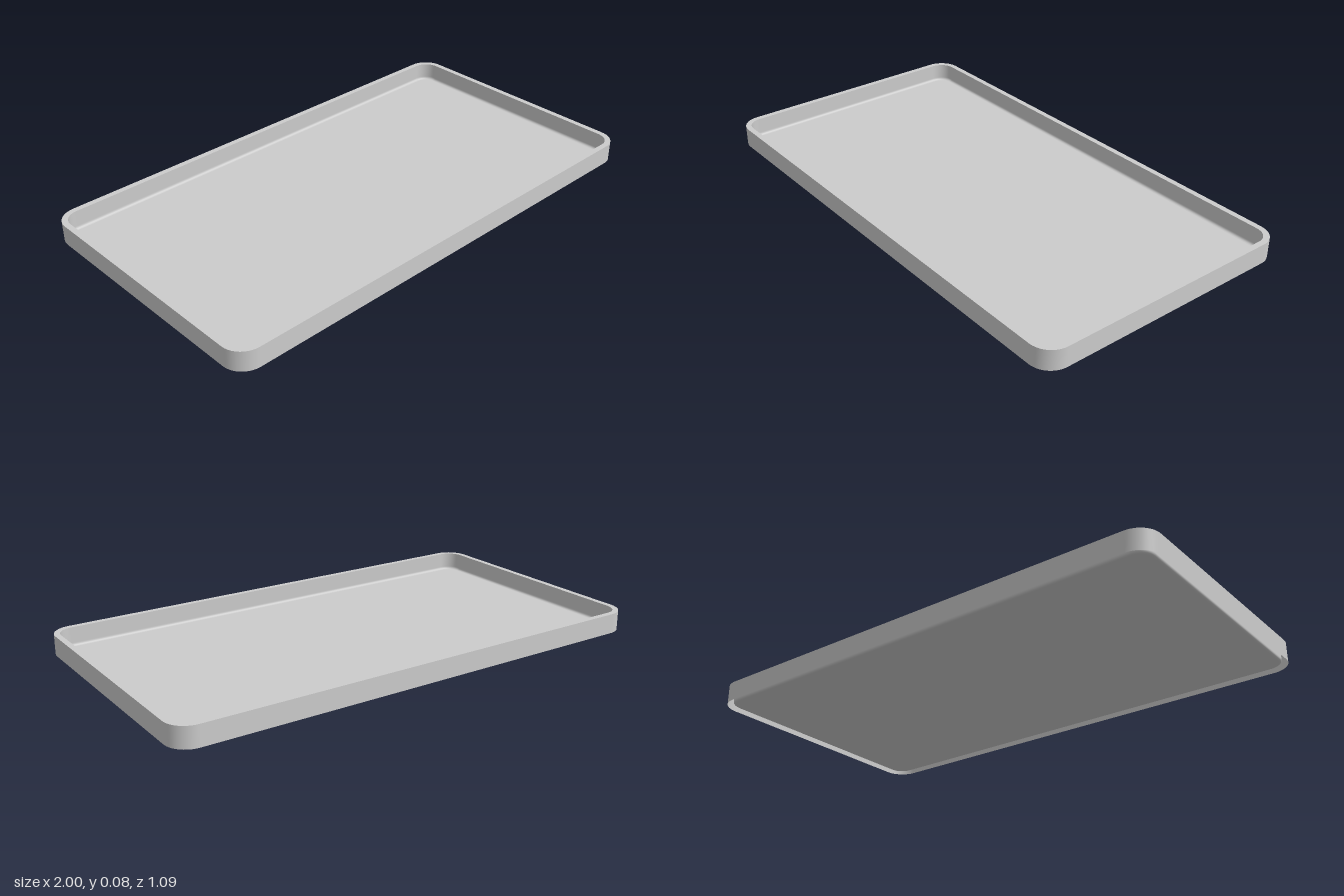
import * as THREE from 'three';

const HALF_X = 1, HALF_Z = 0.545, RADIUS = 0.085, STEPS = 10;

// Rounded-rectangle outline, moved inward by inset, as [x, z] pairs
function outline(inset) {
  const pts = [], r = RADIUS - inset;
  const corners = [[1, 1], [-1, 1], [-1, -1], [1, -1]];
  corners.forEach(([sx, sz], c) => {
    for (let i = 0; i <= STEPS; i++) {
      const a = (c + i / STEPS) * Math.PI / 2;
      pts.push([sx * (HALF_X - RADIUS) + r * Math.cos(a), sz * (HALF_Z - RADIUS) + r * Math.sin(a)]);
    }
  });
  return pts;
}

// Smooth band swept round the outline through [inset, y] profile points
function band(profile) {
  const pos = [], index = [], n = 4 * (STEPS + 1);
  for (const [inset, y] of profile) for (const [x, z] of outline(inset)) pos.push(x, y, z);
  for (let j = 0; j < profile.length - 1; j++) {
    for (let i = 0; i < n; i++) {
      const a = j * n + i, b = j * n + (i + 1) % n;
      index.push(a, a + n, b, b, a + n, b + n);
    }
  }
  const g = new THREE.BufferGeometry();
  g.setAttribute('position', new THREE.Float32BufferAttribute(pos, 3));
  g.setIndex(index);
  g.computeVertexNormals();
  return g;
}

export function createModel() {
  const tray = new THREE.Group();
  tray.name = 'tray';
  const material = new THREE.MeshStandardMaterial({ color: 0xcccccc, side: THREE.DoubleSide });
  const add = (name, geometry) => {
    const mesh = new THREE.Mesh(geometry, material);
    mesh.name = name;
    tray.add(mesh);
  };

  const height = 0.08, wall = 0.023, floorY = 0.005, fillet = 0.01;

  // Folded edge, open underneath
  add('outerWall', band([[0, 0], [0, height]]));
  add('rim', band([[0, height], [wall, height]]));

  // Inner wall, rounded into the floor
  const inner = [[wall, height], [wall, floorY + fillet + 0.003]];
  for (let i = 0; i <= 4; i++) {
    const a = i / 4 * Math.PI / 2;
    inner.push([wall + fillet * (1 - Math.cos(a)), floorY + fillet * (1 - Math.sin(a))]);
  }
  add('innerWall', band(inner));

  // Flat floor
  const shape = new THREE.Shape(outline(wall + fillet).map(([x, z]) => new THREE.Vector2(x, -z)));
  add('floor', new THREE.ShapeGeometry(shape).rotateX(-Math.PI / 2).translate(0, floorY, 0));

  return tray;
}
